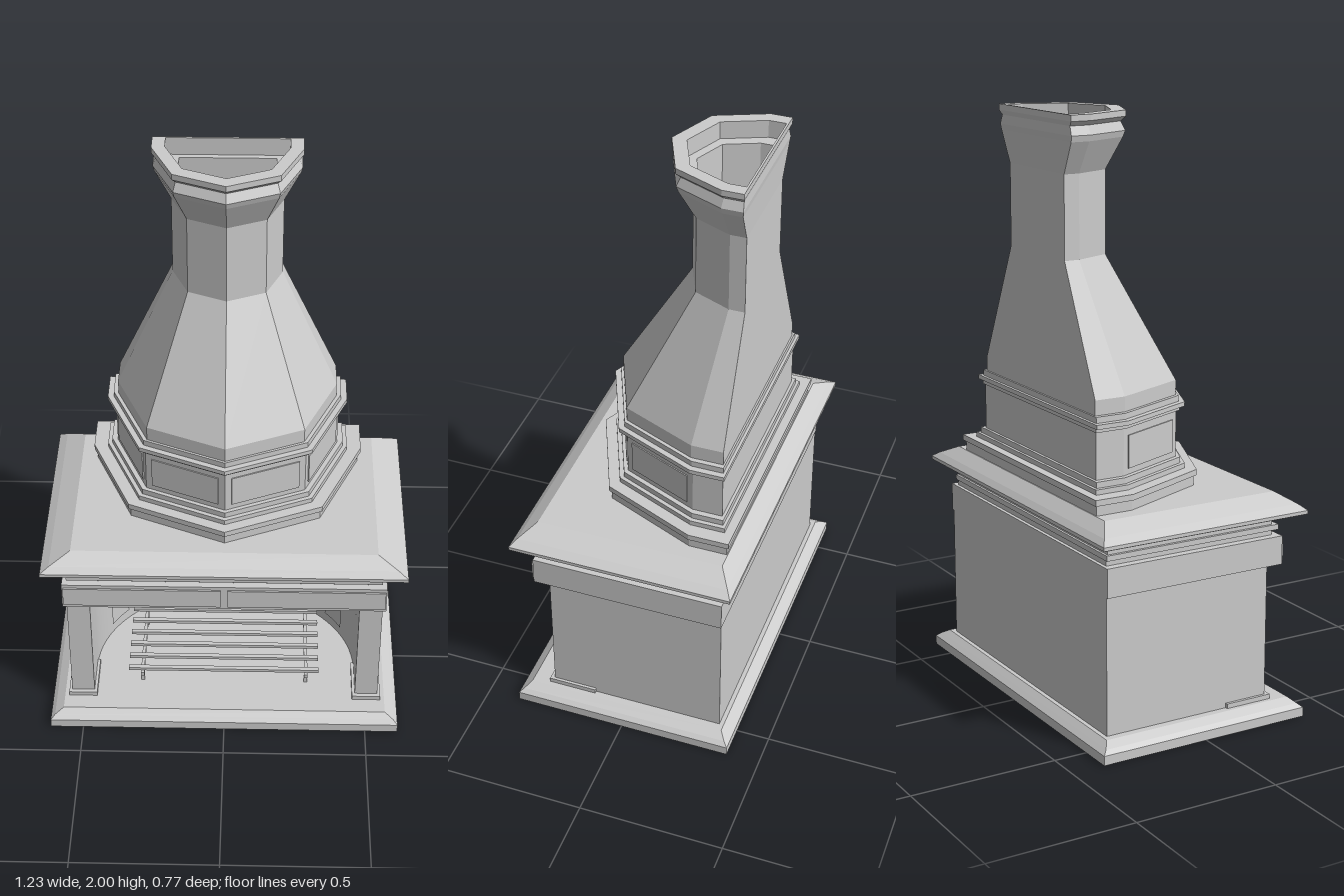
import * as THREE from 'three';
import { toCreasedNormals } from 'three/addons/utils/BufferGeometryUtils.js';

const grey = new THREE.MeshStandardMaterial({ color: 0xcccccc });
const flat = new THREE.MeshStandardMaterial({ color: 0xcccccc, flatShading: true });
const thin = new THREE.MeshStandardMaterial({ color: 0xcccccc, side: THREE.DoubleSide });

// Skins a stack of convex outlines [y, [[x, z], ...]] and caps both ends
function loft(sections) {
  const pos = [];
  const rings = sections.map(([y, pts]) => pts.map(([x, z]) => [x, y, z]));
  const n = rings[0].length;
  for (let i = 0; i < rings.length - 1; i++) {
    for (let j = 0; j < n; j++) {
      const k = (j + 1) % n, [a, b] = [rings[i], rings[i + 1]];
      pos.push(...a[j], ...a[k], ...b[k], ...a[j], ...b[k], ...b[j]);
    }
  }
  const lo = rings[0], hi = rings[rings.length - 1];
  for (let j = 1; j < n - 1; j++) {
    pos.push(...lo[0], ...lo[j + 1], ...lo[j], ...hi[0], ...hi[j], ...hi[j + 1]);
  }
  const g = new THREE.BufferGeometry();
  g.setAttribute('position', new THREE.Float32BufferAttribute(pos, 3));
  g.computeVertexNormals();
  return g;
}

// Outlines seen from above: a rectangle, and the hood's pointed front
const rect = (w, front, back) => [[-w, front], [w, front], [w, back], [-w, back]];
const prow = (w, apex, back) => [
  [-w, apex - w], [-0.7 * w, apex - 0.3 * w], [0, apex],
  [0.7 * w, apex - 0.3 * w], [w, apex - w], [w, back], [-w, back],
];
const rectLoft = rows => loft(rows.map(([y, ...r]) => [y, rect(...r)]));
const prowLoft = rows => loft(rows.map(([y, ...r]) => [y, prow(...r)]));

export function createModel() {
  const model = new THREE.Group();
  const add = (name, geometry, material = flat, parent = model) => {
    const m = new THREE.Mesh(geometry, material);
    m.name = name;
    parent.add(m);
    return m;
  };
  const box = (name, x0, x1, y0, y1, z0, z1, parent = model) => {
    const m = add(name, new THREE.BoxGeometry(x1 - x0, y1 - y0, z1 - z0), flat, parent);
    m.position.set((x0 + x1) / 2, (y0 + y1) / 2, (z0 + z1) / 2);
    return m;
  };

  // Bevelled base slab
  add('base', rectLoft([
    [0, 0.615, 0.385, -0.385], [0.032, 0.615, 0.385, -0.385],
    [0.045, 0.6, 0.37, -0.37], [0.062, 0.57, 0.35, -0.35],
  ]));

  // Body with a rounded firebox cut in from the front
  const body = new THREE.Shape();
  body.moveTo(-0.545, -0.275);
  body.lineTo(-0.465, -0.275);
  body.lineTo(-0.465, -0.13);
  body.absellipse(0, -0.13, 0.465, 0.41, Math.PI, 0, true);
  body.lineTo(0.465, -0.275);
  body.lineTo(0.545, -0.275);
  body.lineTo(0.545, 0.335);
  body.lineTo(-0.545, 0.335);
  const bodyGeo = new THREE.ExtrudeGeometry(body, { depth: 0.475, bevelEnabled: false, curveSegments: 20 });
  bodyGeo.rotateX(-Math.PI / 2).translate(0, 0.06, 0);
  add('body', toCreasedNormals(bodyGeo, 0.5), grey);

  // Lining panels on the curved firebox wall
  for (const [x0, x1] of [[-0.42, -0.365], [-0.21, 0.21], [0.365, 0.42]]) {
    const t0 = Math.asin(x0 / 0.46), t1 = Math.asin(x1 / 0.46);
    const g = new THREE.CylinderGeometry(1, 1, 0.4, 16, 1, true, Math.PI - t1, t1 - t0);
    g.scale(0.46, 1, 0.404).translate(0, 0.305, 0.13);
    add('liningPanel', g, thin);
  }

  // Pillar plinths
  for (const s of [-1, 1]) box('plinth', s * 0.505 - 0.05, s * 0.505 + 0.05, 0.06, 0.078, 0.12, 0.29);

  // Corner braces under the lintel: curved on one side, straight on the other
  for (const s of [-1, 1]) {
    const brace = new THREE.Shape();
    brace.moveTo(s * 0.47, 0.53);
    brace.lineTo(s * 0.47, s < 0 ? 0.41 : 0.37);
    if (s < 0) brace.quadraticCurveTo(-0.41, 0.51, -0.3, 0.53);
    else brace.lineTo(0.29, 0.53);
    add('brace', new THREE.ExtrudeGeometry(brace, { depth: 0.02, bevelEnabled: false }), flat).position.z = 0.11;
  }

  // Fire grate
  const grate = new THREE.Group();
  grate.name = 'grate';
  model.add(grate);
  for (let i = 0; i < 6; i++) {
    const z = -0.1 + i * 0.062;
    box('grateBar', -0.345, 0.335, 0.12, 0.132, z - 0.008, z + 0.008, grate);
  }
  for (const x of [-0.295, 0.29]) {
    box('grateRail', x - 0.006, x + 0.006, 0.106, 0.12, -0.12, 0.23, grate);
    for (const z of [-0.09, 0.2]) box('grateFoot', x - 0.006, x + 0.006, 0.06, 0.108, z - 0.006, z + 0.006, grate);
  }

  // Lintel with two front panels
  box('lintel', -0.552, 0.552, 0.527, 0.625, -0.337, 0.33);
  for (const s of [-1, 1]) box('lintelPanel', s * 0.28 - 0.268, s * 0.28 + 0.268, 0.54, 0.612, 0.32, 0.336);

  // Stepped frieze and mantel shelf
  add('mantel', rectLoft([
    [0.625, 0.525, 0.305, -0.325], [0.643, 0.525, 0.305, -0.325],
    [0.643, 0.535, 0.325, -0.328], [0.661, 0.535, 0.325, -0.328],
    [0.661, 0.525, 0.305, -0.32], [0.68, 0.525, 0.305, -0.32],
    [0.682, 0.55, 0.335, -0.34], [0.708, 0.615, 0.385, -0.385],
    [0.72, 0.615, 0.385, -0.385], [0.738, 0.585, 0.365, -0.367],
    [0.77, 0.515, 0.318, -0.325],
  ]));

  // Stepped hood foot
  add('hoodFoot', prowLoft([
    [0.768, 0.46, 0.268, -0.322], [0.805, 0.46, 0.268, -0.322],
    [0.805, 0.47, 0.278, -0.33], [0.825, 0.47, 0.278, -0.33],
    [0.825, 0.42, 0.238, -0.3], [0.842, 0.42, 0.238, -0.3],
    [0.842, 0.405, 0.222, -0.29], [0.862, 0.405, 0.222, -0.29],
  ]));

  // Hood band, with a panel on each angled face
  add('hoodBand', prowLoft([[0.86, 0.385, 0.207, -0.28], [1.025, 0.385, 0.207, -0.28]]));
  const edge = prow(0.385, 0.207, -0.28);
  for (let i = 0; i < 4; i++) {
    const [[x0, z0], [x1, z1]] = [edge[i], edge[i + 1]];
    const len = Math.hypot(x1 - x0, z1 - z0);
    const p = add('hoodPanel', new THREE.BoxGeometry(len * 0.84, 0.11, 0.008));
    p.position.set((x0 + x1) / 2, 0.937, (z0 + z1) / 2);
    p.rotation.y = Math.atan2(z0 - z1, x1 - x0);
  }

  // Moulding above the band
  add('hoodMoulding', prowLoft([
    [1.02, 0.395, 0.22, -0.285], [1.035, 0.395, 0.22, -0.285],
    [1.035, 0.413, 0.237, -0.293], [1.05, 0.413, 0.237, -0.293],
    [1.05, 0.392, 0.216, -0.283], [1.07, 0.392, 0.216, -0.283],
  ]));

  // Tapering hood, neck and flared crown, folding over the rim into the flue
  add('chimney', prowLoft([
    [1.07, 0.375, 0.207, -0.277], [1.12, 0.375, 0.207, -0.277],
    [1.535, 0.183, -0.04, -0.277], [1.81, 0.183, -0.04, -0.277],
    [1.915, 0.235, 0.02, -0.28], [1.935, 0.24, 0.028, -0.282],
    [1.965, 0.228, 0.012, -0.28], [1.98, 0.243, 0.03, -0.285],
    [2, 0.243, 0.03, -0.285], [2, 0.2, -0.02, -0.278],
    [1.94, 0.2, -0.02, -0.278], [1.94, 0.157, -0.052, -0.258],
    [1.6, 0.157, -0.052, -0.258],
  ]));

  return model;
}
